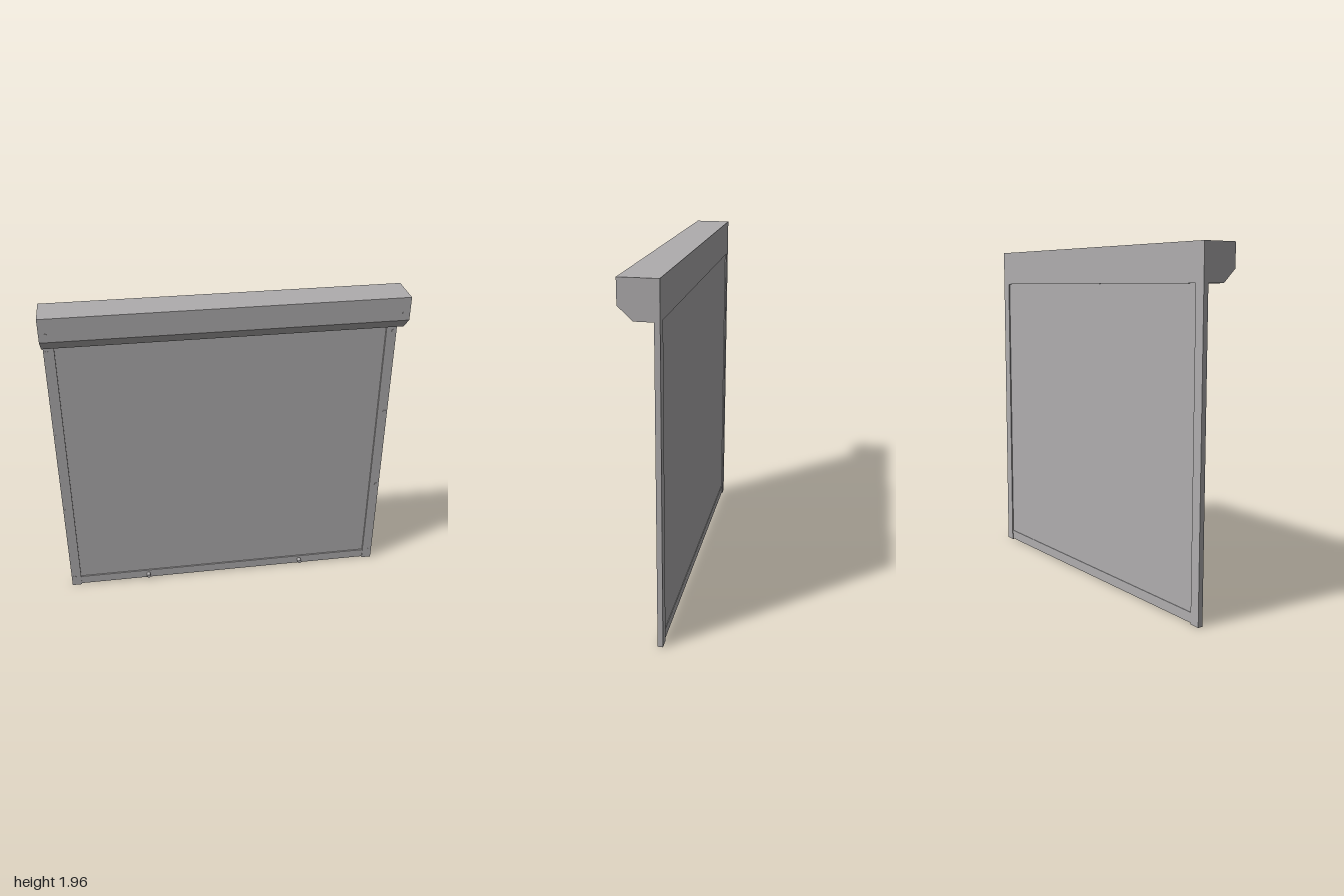
import * as THREE from 'three';

export function createModel() {
  const group = new THREE.Group();
  const grey = new THREE.MeshStandardMaterial({ color: 0xafadae });
  grey.name = 'shutter grey';

  const add = (name, geometry, x, y, z) => {
    const mesh = new THREE.Mesh(geometry, grey);
    mesh.name = name;
    mesh.position.set(x, y, z);
    group.add(mesh);
    return mesh;
  };
  // Box given by its limits on each axis
  const box = (name, x0, x1, y0, y1, z0, z1) =>
    add(name, new THREE.BoxGeometry(x1 - x0, y1 - y0, z1 - z0),
      (x0 + x1) / 2, (y0 + y1) / 2, (z0 + z1) / 2);
  // Round pin pointing forward from z0 to z1
  const pin = (name, x, y, z0, z1, radius) => {
    const geometry = new THREE.CylinderGeometry(radius, radius, z1 - z0, 20);
    geometry.rotateX(Math.PI / 2);
    add(name, geometry, x, y, (z0 + z1) / 2);
  };

  // Roller housing: side profile (z, y) with a chamfered lower front edge
  const profile = new THREE.Shape([
    [-0.105, 1.75], [0.025, 1.75], [0.101, 1.822], [0.101, 1.955], [-0.105, 1.955],
  ].map(([z, y]) => new THREE.Vector2(-z, y)));
  const housing = new THREE.ExtrudeGeometry(profile, { depth: 2, bevelEnabled: false });
  housing.rotateY(Math.PI / 2);
  add('rollerHousing', housing, -1, 0, 0);

  // Curtain and the thicker bar along its lower edge
  box('curtain', -0.94, 0.94, 0.06, 1.75, -0.098, -0.088);
  box('bottomBar', -0.94, 0.94, 0.006, 0.062, -0.101, -0.08);

  for (const side of [-1, 1]) {
    // Guide rail with its fixing screws
    const inner = side * 0.94, outer = side;
    box('guideRail', Math.min(inner, outer), Math.max(inner, outer), 0, 1.75, -0.105, -0.076);
    for (const y of [0.065, 0.602, 1.14, 1.677])
      pin('railScrew', side * 0.982, y, -0.08, -0.074, 0.011);

    // Housing screw and curtain stop
    pin('housingScrew', side * 0.963, 1.867, 0.098, 0.105, 0.006);
    pin('curtainStop', side * 0.503, 0.035, -0.085, -0.05, 0.012);
  }
  return group;
}
